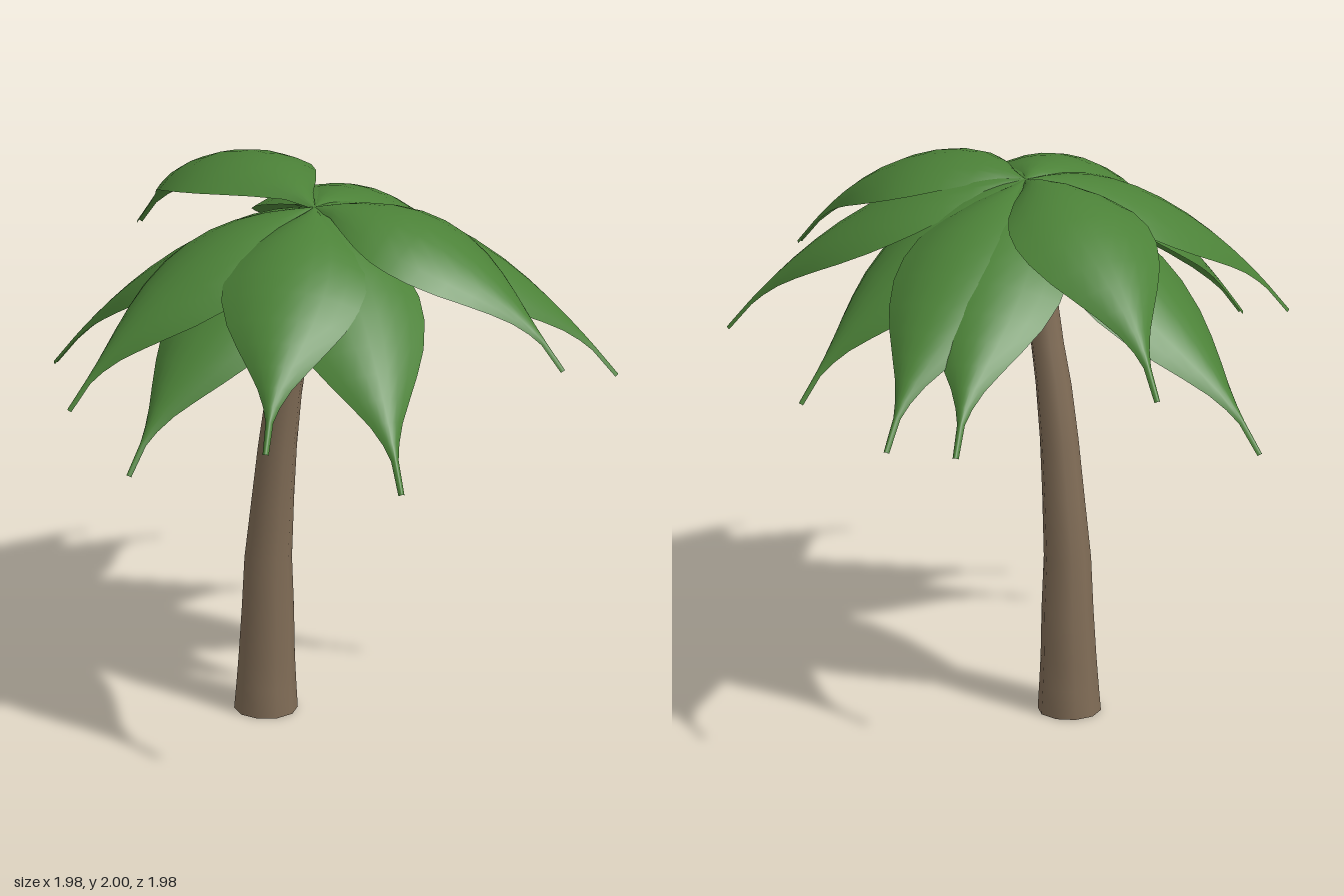
import * as THREE from 'three';

const leafGreen = new THREE.MeshStandardMaterial({ color: 0x4c8238, side: THREE.DoubleSide });
leafGreen.name = 'leaf green';
const barkBrown = new THREE.MeshStandardMaterial({ color: 0x806c56, side: THREE.DoubleSide });
barkBrown.name = 'bark brown';
const nutBrown = new THREE.MeshStandardMaterial({ color: 0x7c6454 });
nutBrown.name = 'nut brown';

const CROWN = new THREE.Vector3(0.035, 1.935, 0.047);
const UP = new THREE.Vector3(0, 1, 0);

// Smooth indexed surface from equal-length rows of points; closed rows wrap round
function loft(rows, closed) {
  const n = rows[0].length, index = [];
  for (let i = 0; i < rows.length - 1; i++) {
    for (let j = 0; j < (closed ? n : n - 1); j++) {
      const a = i * n + j, c = i * n + (j + 1) % n;
      index.push(a, a + n, c, a + n, c + n, c);
    }
  }
  const geo = new THREE.BufferGeometry().setFromPoints(rows.flat());
  geo.setIndex(index);
  geo.computeVertexNormals();
  return geo;
}

// Half width of a leaf along its length: [t, half width]
const OUTLINE = [[0, 0.005], [0.08, 0.06], [0.16, 0.135], [0.25, 0.2], [0.34, 0.24], [0.43, 0.254],
  [0.52, 0.246], [0.62, 0.21], [0.7, 0.16], [0.77, 0.107], [0.83, 0.06], [0.88, 0.03],
  [0.92, 0.014], [1, 0.011]];

// Leaf arching from the crown to its tip, with drooping edges
function leafGeometry(tip, lift) {
  const control = CROWN.clone().lerp(tip, 0.53);
  control.y = 2.09 + 0.8 * (tip.y - 1.49) + lift;
  const spine = new THREE.QuadraticBezierCurve3(CROWN, control, tip);
  const rows = OUTLINE.map(([t, w]) => {
    const p = spine.getPoint(t), along = spine.getTangent(t);
    const side = UP.clone().cross(along).normalize();
    const normal = along.clone().cross(side);
    const row = [];
    for (let j = -4; j <= 4; j++) {
      const u = j / 4;
      row.push(p.clone().addScaledVector(side, u * w).addScaledVector(normal, -u * u * (0.32 * w + 0.008)));
    }
    return row;
  });
  return loft(rows, false);
}

// Leaf tips x, y, z and extra lift of the arch
const LEAVES = [
  [-0.49, 1.30, -0.885, 0], [-0.255, 1.29, -0.99, 0.03], [0.315, 1.27, -0.815, 0],
  [0.925, 1.31, -0.525, 0.03], [0.99, 1.49, -0.09, 0.01], [0.825, 1.25, 0.685, 0.02],
  [0.41, 1.39, 0.925, 0], [-0.125, 1.21, 0.99, -0.01], [-0.455, 1.34, 0.87, 0],
  [-0.99, 1.15, 0.15, 0], [-0.99, 1.50, -0.38, 0.075],
];

// Trunk rings: y, centre x, centre z, radius
const TRUNK = [
  [0, -0.165, 0.055, 0.111], [0.1, -0.164, 0.054, 0.104], [0.2, -0.163, 0.053, 0.098],
  [0.38, -0.159, 0.052, 0.091], [0.57, -0.155, 0.056, 0.083], [0.8, -0.136, 0.055, 0.074],
  [1.0, -0.117, 0.055, 0.068], [1.2, -0.092, 0.053, 0.063], [1.35, -0.062, 0.053, 0.058],
  [1.5, -0.038, 0.052, 0.056], [1.7, -0.002, 0.052, 0.053], [1.89, 0.025, 0.05, 0.048],
];

function trunkGeometry() {
  const sides = 10;
  return loft(TRUNK.map(([y, x, z, r]) => Array.from({ length: sides }, (_, j) => {
    const a = -(j / sides) * Math.PI * 2;
    return new THREE.Vector3(x + r * Math.cos(a), y, z + r * Math.sin(a));
  })), true);
}

export function createModel() {
  const group = new THREE.Group();
  group.name = 'palmTree';
  const add = (name, geometry, material) => {
    const mesh = new THREE.Mesh(geometry, material);
    mesh.name = name;
    group.add(mesh);
    return mesh;
  };

  // Leaning hollow trunk
  add('trunk', trunkGeometry(), barkBrown);

  // Crown of leaves
  LEAVES.forEach(([x, y, z, lift], i) =>
    add(`leaf${i + 1}`, leafGeometry(new THREE.Vector3(x, y, z), lift), leafGreen));

  // Nuts clustered round the trunk top
  [[0.11, 1.83, 0.01], [0.11, 1.81, 0.083], [0.04, 1.83, -0.04]].forEach((p, i) =>
    add(`nut${i + 1}`, new THREE.SphereGeometry(0.045, 16, 12), nutBrown).position.set(...p));

  return group;
}
